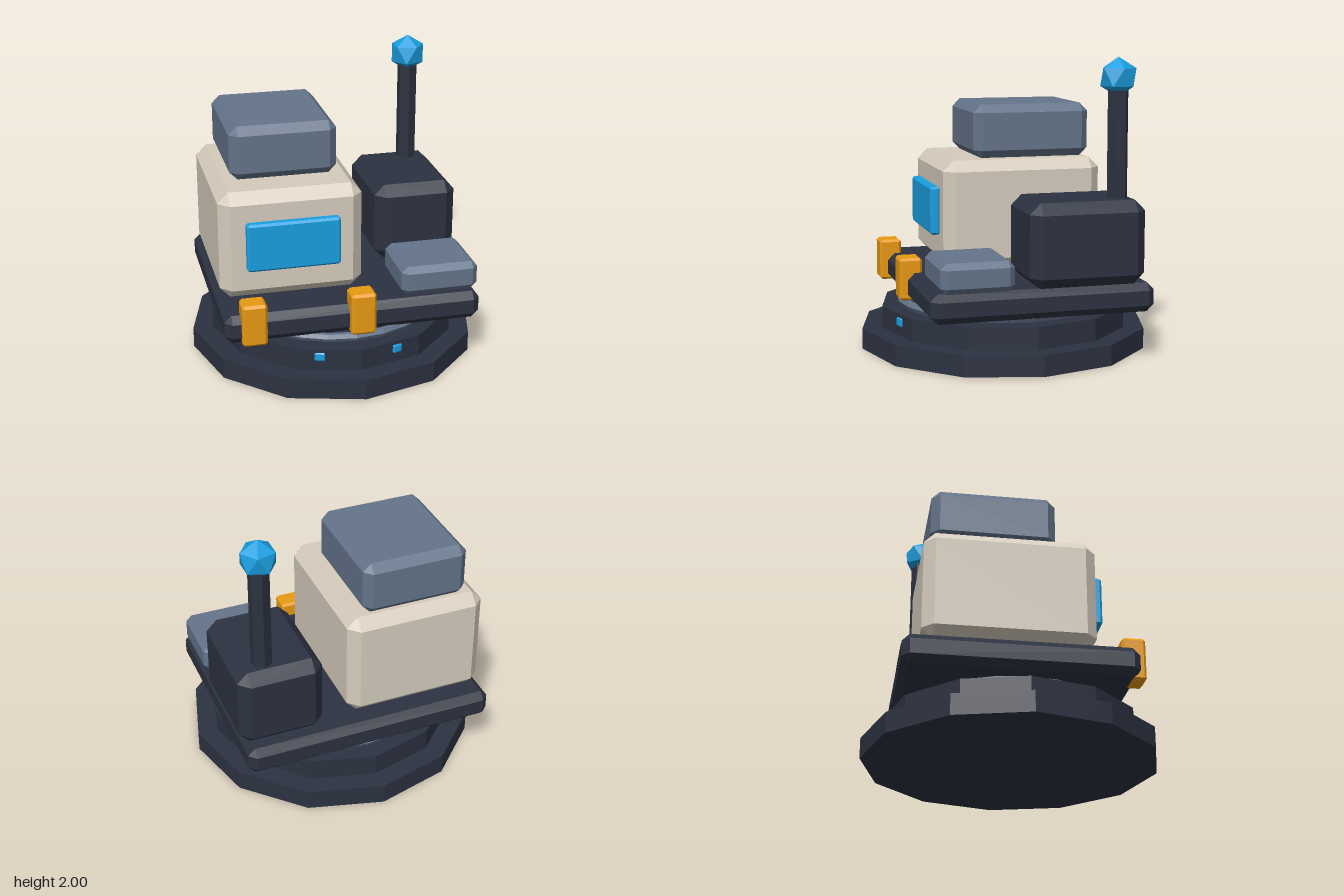
import * as THREE from 'three';
import { ConvexGeometry } from 'three/addons/geometries/ConvexGeometry.js';

const paint = (color) => new THREE.MeshStandardMaterial({ color, flatShading: true });

// Box with flat chamfers on all edges and triangular corners, centred on the origin
function chamferBox(w, h, d, c) {
  const points = [];
  for (const sx of [-1, 1]) for (const sy of [-1, 1]) for (const sz of [-1, 1]) {
    const x = sx * w / 2, y = sy * h / 2, z = sz * d / 2;
    points.push(
      new THREE.Vector3(x, y - sy * c, z - sz * c),
      new THREE.Vector3(x - sx * c, y, z - sz * c),
      new THREE.Vector3(x - sx * c, y - sy * c, z));
  }
  return new ConvexGeometry(points);
}

export function createModel() {
  const group = new THREE.Group();
  const dark = paint(0x2c3241);
  const slate = paint(0x64748a);
  const cream = paint(0xd6ccbd);
  const blue = paint(0x1a9fe0);
  const amber = paint(0xe89a12);

  function add(name, geometry, material, x, y, z) {
    const mesh = new THREE.Mesh(geometry, material);
    mesh.name = name;
    mesh.position.set(x, y, z);
    group.add(mesh);
    return mesh;
  }

  // Chamfered block given by its extents on each axis
  function block(name, material, [x0, x1], [y0, y1], [z0, z1], chamfer) {
    return add(name, chamferBox(x1 - x0, y1 - y0, z1 - z0, chamfer), material,
      (x0 + x1) / 2, (y0 + y1) / 2, (z0 + z1) / 2);
  }

  // Stepped twelve-sided base
  add('baseLower', new THREE.CylinderGeometry(0.995, 0.995, 0.14, 12), dark, 0, 0.07, 0);
  add('baseUpper', new THREE.CylinderGeometry(0.855, 0.855, 0.15, 12), dark, 0, 0.215, 0);

  // Small lights set into the front of the base
  for (const [name, angle] of [['baseLightLeft', 0.325], ['baseLightRight', -0.325]]) {
    const r = 0.815;
    add(name, chamferBox(0.07, 0.06, 0.045, 0.008), blue,
      Math.sin(angle) * r, 0.235, Math.cos(angle) * r).rotation.y = angle;
  }

  // Turntable ring between base and deck
  add('turntableRing', new THREE.TorusGeometry(0.71, 0.03, 6, 24).rotateX(Math.PI / 2),
    slate, 0, 0.318, 0);

  // Deck
  block('deck', dark, [-0.87, 0.87], [0.34, 0.535], [-0.8, 0.7], 0.048);

  // Cabin with window and roof unit
  block('cabin', cream, [-0.85, 0.12], [0.53, 1.28], [-0.68, 0.435], 0.073);
  block('cabinWindow', blue, [-0.68, -0.05], [0.755, 1.09], [0.43, 0.5], 0.015);
  block('roofUnit', slate, [-0.73, 0], [1.28, 1.65], [-0.63, 0.195], 0.055);

  // Equipment housings on the left of the deck
  block('rearHousing', dark, [0.315, 0.895], [0.53, 1.085], [-0.73, 0.05], 0.072);
  block('frontHousing', slate, [0.34, 0.87], [0.53, 0.73], [0.15, 0.635], 0.04);

  // Bumper posts on the front edge
  block('bumperPostRight', amber, [-0.765, -0.6], [0.345, 0.635], [0.6, 0.755], 0.017);
  block('bumperPostLeft', amber, [-0.04, 0.13], [0.345, 0.635], [0.6, 0.755], 0.017);

  // Mast topped by a faceted beacon, standing on one vertex
  add('mast', new THREE.CylinderGeometry(0.07, 0.07, 0.78, 6), dark, 0.7, 1.42, -0.58);
  const golden = (1 + Math.sqrt(5)) / 2;
  const beacon = new THREE.IcosahedronGeometry(0.13, 0)
    .rotateX(-Math.atan(golden)).rotateY(Math.PI / 2);
  add('beacon', beacon, blue, 0.7, 1.87, -0.58);

  return group;
}
